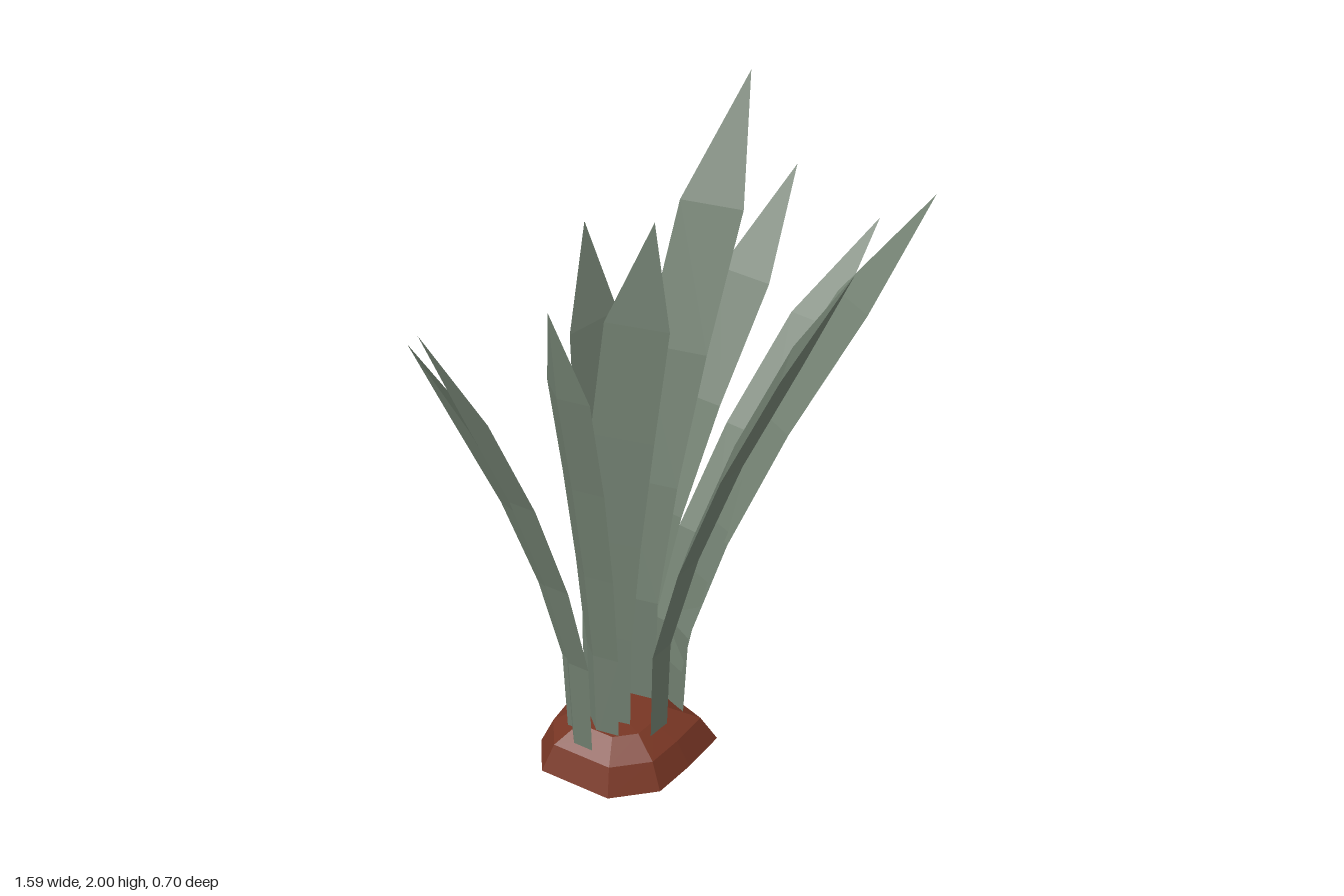
import * as THREE from 'three';

const leafMat = new THREE.MeshStandardMaterial({ color: 0x6f7d6e, flatShading: true, side: THREE.DoubleSide });
leafMat.name = 'grey green leaf';
const soilMat = new THREE.MeshStandardMaterial({ color: 0x783624, flatShading: true });
soilMat.name = 'red brown soil';

// Blade stations: height, outward travel and width, as fractions of the whole
const RISE = [0, 0.2, 0.4, 0.61, 0.82, 1];
const REACH = [0, 0.02, 0.17, 0.4, 0.7, 1];
const WIDTH = [0.75, 0.82, 0.92, 1, 1, 0];

// A keeled blade: each station is a triangle of left edge, keel, right edge
function bladeGeometry([bx, by, bz], [tx, ty, tz], [wx, wz], width) {
  const len = Math.hypot(wx, wz);
  const ux = wx / len, uz = wz / len;
  // The keel is on the side the blade leans to, the flat face on the other
  const side = Math.sign(uz * (tx - bx) - ux * (tz - bz)) || 1;
  const nx = uz * side, nz = -ux * side;
  const pos = [], index = [];
  RISE.forEach((rise, i) => {
    const x = bx + (tx - bx) * REACH[i];
    const y = by + (ty - by) * rise;
    const z = bz + (tz - bz) * REACH[i];
    const half = width * WIDTH[i] / 2;
    for (const s of [-1, 0, 1]) {
      const f = half * (s === 0 ? 0.27 : -0.2);
      pos.push(x + ux * half * s + nx * f, y - (s === 0 && i === 0 ? 0.02 : 0), z + uz * half * s + nz * f);
    }
    if (i === 0) return;
    const a = (i - 1) * 3, b = i * 3;
    for (let k = 0; k < 3; k++) {
      const m = (k + 1) % 3;
      index.push(a + k, a + m, b + m);
      if (i < RISE.length - 1) index.push(a + k, b + m, b + k);
    }
  });
  const g = new THREE.BufferGeometry();
  g.setAttribute('position', new THREE.Float32BufferAttribute(pos, 3));
  g.setIndex(index);
  g.computeVertexNormals();
  return g;
}

// Low faceted mound: one outline shrunk over three levels, closed top and bottom
function moundGeometry() {
  const outline = [[-0.25, 0.225], [-0.12, 0.19], [0.02, 0.14], [0.005, -0.02], [0.02, -0.17],
    [-0.08, -0.25], [-0.26, -0.235], [-0.41, -0.16], [-0.48, -0.05], [-0.39, 0.16]];
  const cx = -0.235, cz = -0.01, n = outline.length;
  const levels = [[0, 1], [0.085, 0.83], [0.135, 0.5]];
  const pos = [], index = [];
  for (const [y, s] of levels)
    for (const [x, z] of outline) pos.push(cx + (x - cx) * s, y, cz + (z - cz) * s);
  pos.push(cx, 0, cz, cx, 0.138, cz);
  const bottom = n * levels.length, top = bottom + 1, last = n * (levels.length - 1);
  for (let i = 0; i < n; i++) {
    const j = (i + 1) % n;
    for (let l = 0; l < last; l += n)
      index.push(l + i, l + j, l + n + j, l + i, l + n + j, l + n + i);
    index.push(bottom, j, i, top, last + i, last + j);
  }
  const g = new THREE.BufferGeometry();
  g.setAttribute('position', new THREE.Float32BufferAttribute(pos, 3));
  g.setIndex(index);
  g.computeVertexNormals();
  return g;
}

export function createModel() {
  const group = new THREE.Group();
  group.name = 'spikyPlant';

  const mound = new THREE.Mesh(moundGeometry(), soilMat);
  mound.name = 'soilMound';
  group.add(mound);

  // Each blade: base, tip, direction across the blade (x, z), width
  const blades = [
    [[-0.38, 0.1, 0.0], [-0.8, 1.66, -0.01], [-0.05, 1], 0.15],
    [[-0.36, 0.1, -0.06], [-0.745, 1.53, -0.17], [-0.35, 1], 0.14],
    [[-0.315, 0.12, 0.02], [-0.46, 1.63, 0.05], [0.12, 1], 0.17],
    [[-0.27, 0.12, 0.0], [-0.15, 1.8, 0.08], [0.6, 0.8], 0.18],
    [[-0.22, 0.12, -0.1], [-0.08, 1.58, -0.35], [1, -0.16], 0.18],
    [[-0.145, 0.12, -0.05], [0.32, 2.0, -0.14], [0.55, 0.8], 0.18],
    [[-0.11, 0.12, -0.08], [0.495, 1.66, -0.15], [0.35, 1], 0.16],
    [[-0.15, 0.12, 0.09], [0.29, 1.62, 0.35], [0.76, -0.65], 0.18],
    [[-0.05, 0.09, 0.03], [0.79, 1.58, 0.1], [-0.1, 1], 0.15],
    [[-0.05, 0.1, -0.03], [0.72, 1.46, -0.05], [0.3, 1], 0.14],
    [[-0.06, 0.1, 0.04], [0.145, 0.87, 0.08], [0, 1], 0.08],
  ];
  blades.forEach((b, i) => {
    const blade = new THREE.Mesh(bladeGeometry(...b), leafMat);
    blade.name = `leafBlade${i + 1}`;
    group.add(blade);
  });
  return group;
}
